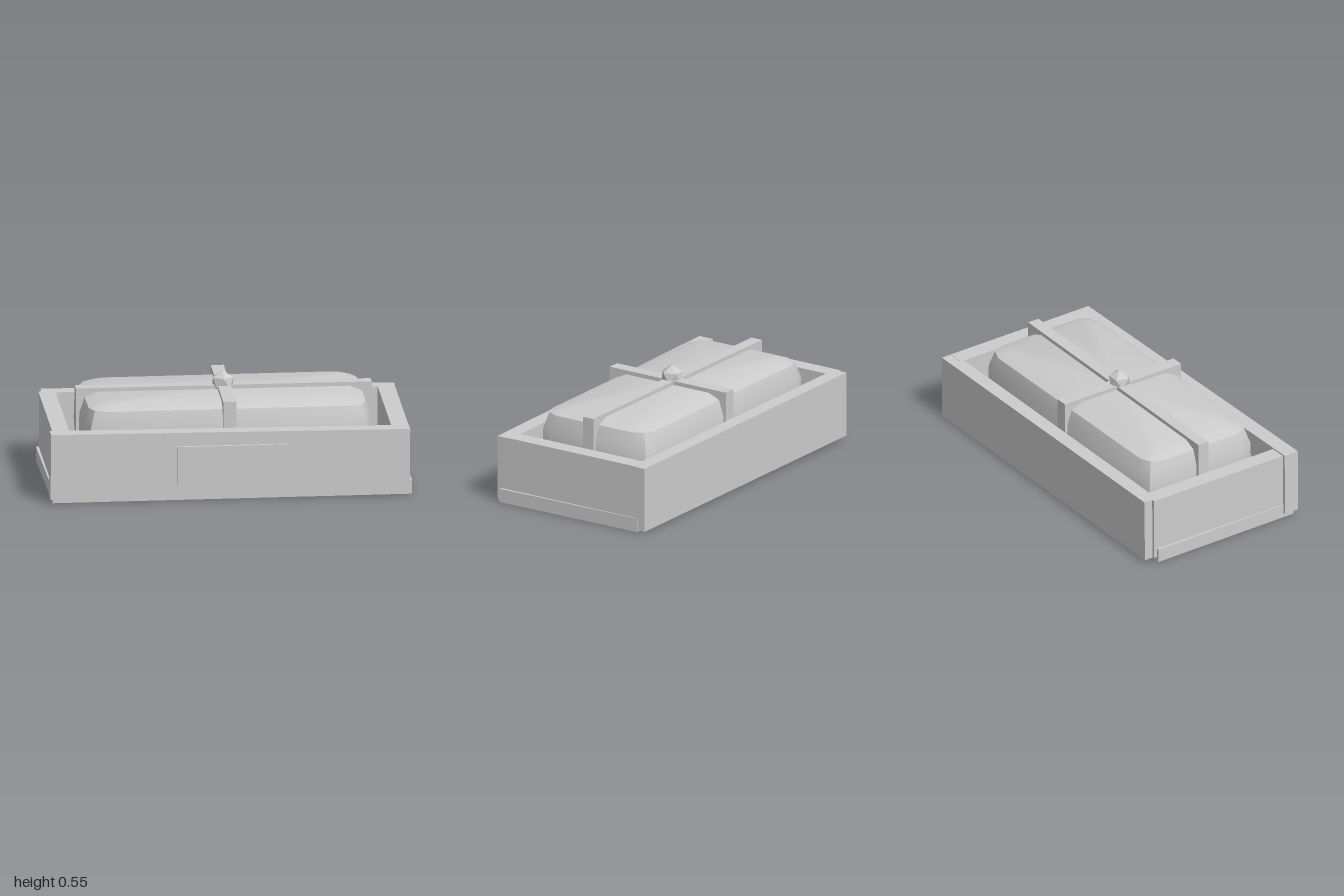
import * as THREE from 'three';
import { toCreasedNormals } from 'three/addons/utils/BufferGeometryUtils.js';

// Rounded-rectangle cushion lofted from rings of [inset, height]
function cushionGeometry(halfX, halfZ, rings) {
  const pos = [], idx = [];
  const steps = 3, count = steps * 4;
  for (const [inset, y] of rings) {
    const r = Math.max(0.03, 0.1 - inset * 0.5);
    for (let c = 0; c < 4; c++) {
      const sx = c === 0 || c === 3 ? 1 : -1, sz = c < 2 ? 1 : -1;
      for (let s = 0; s < steps; s++) {
        const a = (c + s / (steps - 1)) * Math.PI / 2;
        pos.push(sx * (halfX - inset - r) + r * Math.cos(a), y,
          sz * (halfZ - inset - r) + r * Math.sin(a));
      }
    }
  }
  for (let k = 0; k < rings.length - 1; k++) {
    for (let i = 0; i < count; i++) {
      const j = (i + 1) % count;
      const a = k * count + i, b = k * count + j;
      idx.push(a, a + count, b, b, a + count, b + count);
    }
  }
  // Caps
  const last = rings.length - 1;
  pos.push(0, rings[0][1], 0, 0, rings[last][1], 0);
  const bottom = rings.length * count, top = bottom + 1;
  for (let i = 0; i < count; i++) {
    const j = (i + 1) % count;
    idx.push(bottom, i, j, top, last * count + j, last * count + i);
  }
  const g = new THREE.BufferGeometry();
  g.setAttribute('position', new THREE.Float32BufferAttribute(pos, 3));
  g.setIndex(idx);
  return toCreasedNormals(g, 0.6);
}

export function createModel() {
  const model = new THREE.Group();
  model.name = 'crate';
  const grey = new THREE.MeshStandardMaterial({ color: 0xcccccc });
  grey.name = 'light grey';

  const add = (name, geometry, x, y, z, ry = 0, rz = 0) => {
    const mesh = new THREE.Mesh(geometry, grey);
    mesh.name = name;
    mesh.position.set(x, y, z);
    mesh.rotation.set(0, ry, rz);
    model.add(mesh);
    return mesh;
  };
  const box = (name, w, h, d, ...place) => add(name, new THREE.BoxGeometry(w, h, d), ...place);

  // Tray: floor and four slightly crooked walls
  box('base', 1.79, 0.07, 0.82, 0.005, 0.035, 0.012);
  box('frontWall', 1.788, 0.332, 0.08, -0.007, 0.181, 0.403, 0, -0.0095);
  box('backWall', 1.758, 0.33, 0.075, 0.017, 0.178, -0.414, -0.011, -0.006);
  box('leftWall', 0.086, 0.325, 0.78, 0.848, 0.177, 0, -0.01);
  box('rightWall', 0.084, 0.325, 0.79, -0.838, 0.185, -0.02, -0.01);
  box('frontPlaque', 0.55, 0.195, 0.04, 0.002, 0.183, 0.439);

  // Wrapped bundle inside
  add('bundle', cushionGeometry(0.718, 0.337, [
    [0.1, 0.07], [0.03, 0.1], [0.005, 0.17], [0, 0.26], [0.002, 0.35],
    [0.028, 0.43], [0.09, 0.456],
  ]), 0, 0, 0);

  // Crossed straps with a faceted knot
  box('longStrap', 1.472, 0.385, 0.062, 0.003, 0.283, -0.005, -0.009);
  box('shortStrap', 0.065, 0.385, 0.7, 0.004, 0.284, 0, -0.012);
  const knot = new THREE.IcosahedronGeometry(0.06, 0);
  knot.rotateX(-Math.atan((1 + Math.sqrt(5)) / 2));
  add('knot', knot, 0, 0.485, 0);

  // The whole tray sits turned on the ground
  model.rotation.y = -0.372;
  return model;
}
